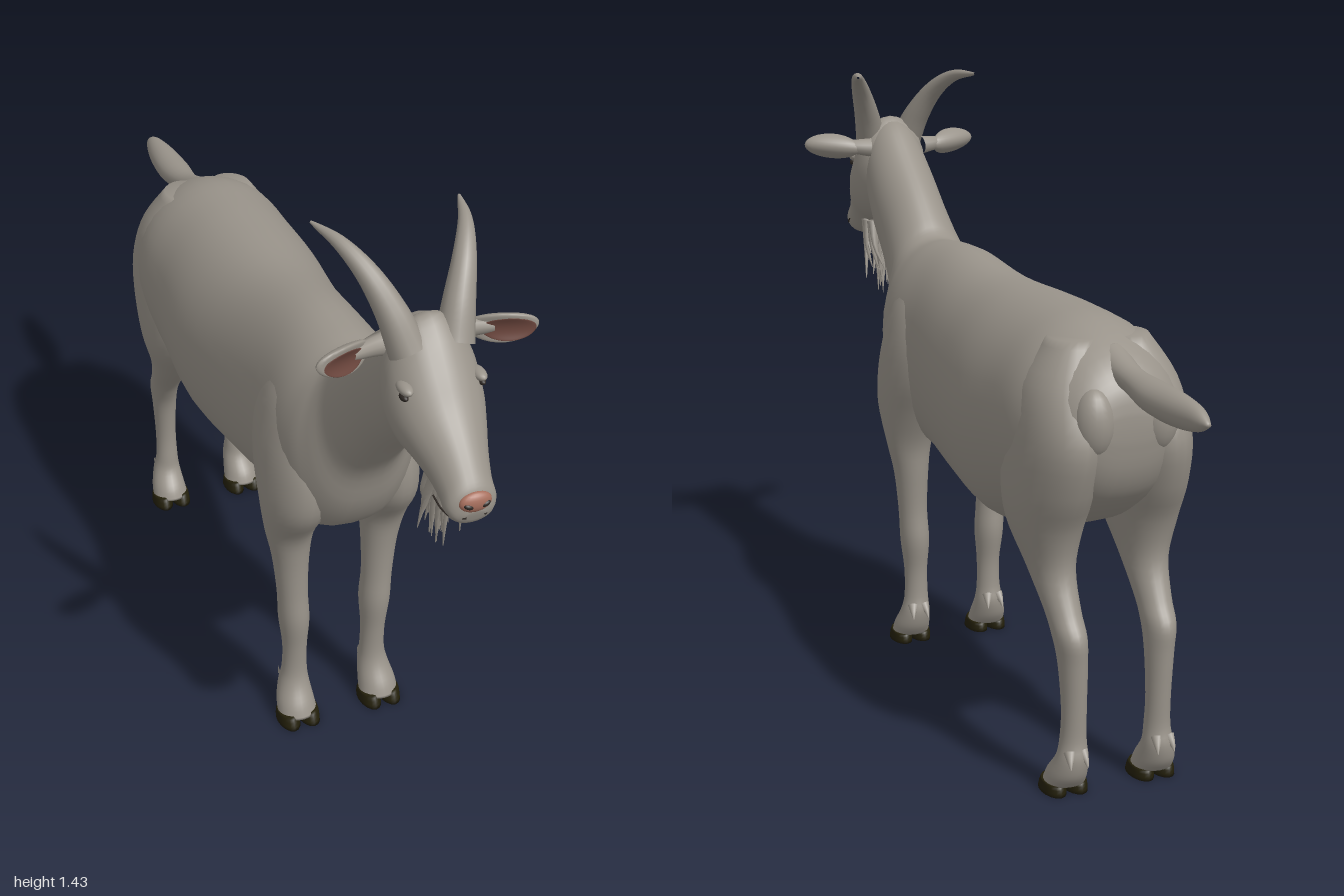
import * as THREE from 'three';

const paint = (name, color) => {
  const m = new THREE.MeshStandardMaterial({ color });
  m.name = name;
  return m;
};

// Smooth closed skin through rings [za, ya, zb, yb, x, halfWidth];
// a and b are the opposite ends of each ring in the side plane.
// A fullness below 1 makes the b half of each ring boxier.
function loft(rings, steps = 4, sides = 24, fullness = 1) {
  const lerp = THREE.MathUtils.lerp;
  const at = (i) => rings[Math.max(0, Math.min(rings.length - 1, i))];
  const rows = [];
  for (let i = 0; i < rings.length - 1; i++) {
    for (let s = 0; s < steps; s++) {
      const t = s / steps;
      rows.push(rings[i].map((p1, k) => {
        const p2 = at(i + 1)[k];
        const m1 = (p2 - at(i - 1)[k]) / 2, m2 = (at(i + 2)[k] - p1) / 2;
        const h = t * t * (3 - 2 * t);
        return lerp(p1, p2, h) + m1 * t * (1 - t) ** 2 - m2 * t * t * (1 - t);
      }));
    }
  }
  rows.push(rings[rings.length - 1]);
  const pos = [], idx = [];
  rows.forEach(([za, ya, zb, yb, x, w]) => {
    for (let j = 0; j < sides; j++) {
      const a = (j / sides) * Math.PI * 2, c = Math.cos(a) / 2, sn = Math.sin(a);
      const across = c < 0 ? Math.sign(sn) * Math.abs(sn) ** fullness : sn;
      pos.push(x + across * w, (ya + yb) / 2 + c * (ya - yb), (za + zb) / 2 + c * (za - zb));
    }
  });
  const n = rows.length, first = n * sides;
  [rows[0], rows[n - 1]].forEach(([za, ya, zb, yb, x]) => pos.push(x, (ya + yb) / 2, (za + zb) / 2));
  for (let j = 0; j < sides; j++) {
    const k = (j + 1) % sides;
    for (let i = 0; i < n - 1; i++) {
      const a = i * sides + j, b = i * sides + k, c = a + sides, d = b + sides;
      idx.push(a, c, b, b, c, d);
    }
    idx.push(first, j, k, first + 1, (n - 1) * sides + k, (n - 1) * sides + j);
  }
  const g = new THREE.BufferGeometry();
  g.setAttribute('position', new THREE.Float32BufferAttribute(pos, 3));
  g.setIndex(idx);
  g.computeVertexNormals();
  return g;
}

// Tube along points whose radius follows a function of 0..1
function taperTube(points, radius, n = 16, sides = 10) {
  const curve = new THREE.CatmullRomCurve3(points.map((p) => new THREE.Vector3(...p)));
  const g = new THREE.TubeGeometry(curve, n, 1, sides);
  const p = g.attributes.position, v = new THREE.Vector3();
  for (let i = 0; i <= n; i++) {
    const c = curve.getPointAt(i / n);
    for (let j = 0; j <= sides; j++) {
      const k = i * (sides + 1) + j;
      v.fromBufferAttribute(p, k).sub(c).multiplyScalar(radius(i / n)).add(c);
      p.setXYZ(k, v.x, v.y, v.z);
    }
  }
  return g;
}

export function createModel() {
  const root = new THREE.Group();
  root.name = 'goat';
  const coat = paint('coat grey', 0x99938a);
  const dark = paint('hoof black', 0x231f0a);
  const earPink = paint('ear pink', 0x6c463d);
  const nosePink = paint('nose pink', 0xa8705e);
  const eyeDark = paint('eye dark', 0x2e2824);

  const add = (name, geo, mat, parent = root) => {
    const m = new THREE.Mesh(geo, mat);
    m.name = name;
    parent.add(m);
    return m;
  };
  const blob = (name, mat, [x, y, z], [sx, sy, sz], parent = root) => {
    const m = add(name, new THREE.SphereGeometry(1, 20, 14), mat, parent);
    m.position.set(x, y, z);
    m.scale.set(sx, sy, sz);
    return m;
  };
  const centred = (rows) => rows.map(([za, ya, zb, yb, w]) => [za, ya, zb, yb, 0, w]);

  // Trunk and neck in one skin, rump to poll
  add('bodyAndNeck', loft(centred([
    [-0.69, 0.84, -0.69, 0.79, 0.07], [-0.675, 0.9, -0.675, 0.71, 0.11],
    [-0.62, 0.96, -0.63, 0.64, 0.148], [-0.5, 1.01, -0.52, 0.57, 0.192],
    [-0.36, 1.02, -0.36, 0.52, 0.197], [-0.2, 1.02, -0.2, 0.482, 0.2],
    [0, 1.02, 0, 0.493, 0.175], [0.2, 1.043, 0.2, 0.522, 0.157],
    [0.33, 1.04, 0.33, 0.54, 0.162], [0.4, 1.033, 0.42, 0.585, 0.15],
    [0.43, 1.045, 0.48, 0.67, 0.125], [0.46, 1.075, 0.52, 0.785, 0.102],
    [0.53, 1.14, 0.6, 0.885, 0.09], [0.62, 1.215, 0.69, 0.98, 0.087],
    [0.7, 1.28, 0.75, 1.05, 0.08], [0.745, 1.298, 0.79, 1.08, 0.07],
  ]), 4, 36, 0.78), coat);
  blob('udder', coat, [0, 0.515, -0.2], [0.08, 0.056, 0.14]);
  add('tail', loft(centred([
    [-1, 0.905, -1, 0.897, 0.005], [-0.96, 0.927, -0.96, 0.878, 0.02],
    [-0.88, 0.936, -0.88, 0.868, 0.034], [-0.78, 0.938, -0.78, 0.872, 0.039],
    [-0.68, 0.945, -0.68, 0.89, 0.03], [-0.58, 0.98, -0.58, 0.9, 0.04],
  ])), coat);

  // Head from poll to lips
  const head = new THREE.Group();
  head.name = 'head';
  root.add(head);
  add('skull', loft(centred([
    [0.69, 1.25, 0.66, 1.14, 0.05], [0.745, 1.305, 0.69, 1.075, 0.082],
    [0.79, 1.28, 0.74, 1.035, 0.097], [0.84, 1.222, 0.79, 1.02, 0.094],
    [0.88, 1.17, 0.84, 1.015, 0.08], [0.925, 1.12, 0.885, 0.998, 0.063],
    [0.962, 1.075, 0.92, 0.978, 0.054], [0.983, 1.045, 0.95, 0.965, 0.053],
    [0.988, 1.02, 0.975, 0.968, 0.04], [0.99, 1.0, 0.984, 0.98, 0.02],
  ])), coat, head);
  blob('nose', nosePink, [0, 1.022, 0.984], [0.034, 0.022, 0.014], head);

  for (const s of [1, -1]) {
    const side = s > 0 ? 'left' : 'right';
    const nostril = blob(side + 'Nostril', eyeDark, [s * 0.017, 1.019, 0.992], [0.011, 0.006, 0.007], head);
    nostril.rotation.z = s * 0.35;
    blob(side + 'Eye', eyeDark, [s * 0.081, 1.178, 0.826], [0.008, 0.007, 0.014], head);
    blob(side + 'Brow', coat, [s * 0.077, 1.193, 0.82], [0.014, 0.011, 0.027], head);
    add(side + 'Mouth', taperTube(
      [[s * 0.018, 0.99, 0.988], [s * 0.042, 0.99, 0.974], [s * 0.054, 0.998, 0.956], [s * 0.059, 1.012, 0.925]],
      () => 0.002, 12, 5), eyeDark, head);

    // Backswept horn
    add(side + 'Horn', taperTube([
      [s * 0.048, 1.24, 0.77], [s * 0.07, 1.31, 0.738], [s * 0.1, 1.375, 0.692],
      [s * 0.13, 1.415, 0.63], [s * 0.157, 1.426, 0.545],
    ], (t) => 0.037 * (1 - t) ** 0.85 + 0.003, 24, 14), coat, head);

    // Ear: cupped leaf with a pink lining, on a short stalk
    const ear = new THREE.Group();
    ear.name = side + 'Ear';
    ear.position.set(s * 0.163, 1.234, 0.745);
    ear.rotation.set(0, s * -0.42, s * 0.08);
    head.add(ear);
    const leaf = (name, mat, rx, ry, rz, dz) => {
      const g = new THREE.SphereGeometry(1, 24, 16).scale(rx, ry, rz);
      const p = g.attributes.position;
      for (let i = 0; i < p.count; i++) p.setZ(i, p.getZ(i) + dz + 16 * p.getY(i) ** 2);
      g.computeVertexNormals();
      return add(name, g, mat, ear);
    };
    leaf('earShell', coat, 0.072, 0.032, 0.016, -0.012);
    leaf('earLining', earPink, 0.054, 0.025, 0.004, 0.003).position.x = s * 0.012;
    add(side + 'EarStalk', taperTube(
      [[s * 0.07, 1.23, 0.712], [s * 0.1, 1.232, 0.718], [s * 0.15, 1.235, 0.735]],
      (t) => 0.024 - 0.011 * t), coat, head);
  }

  // Beard: a tuft with tapering strands around it
  const beard = new THREE.Group();
  beard.name = 'beard';
  head.add(beard);
  add('beardTuft', taperTube([[0, 1.01, 0.86], [0, 0.95, 0.835], [0.012, 0.84, 0.82]],
    (t) => 0.03 * (1 - t) + 0.001, 12, 9), coat, beard);
  let seed = 7;
  const rnd = () => (seed = (seed * 16807) % 2147483647) / 2147483647;
  for (let i = 0; i < 40; i++) {
    const x = (rnd() - 0.5) * 0.07, z = 0.82 + rnd() * 0.065;
    const drop = (0.07 + rnd() * 0.11) * (1 - Math.abs(x) * 9);
    const dx = (rnd() - 0.4) * 0.035, dz = -0.015 - rnd() * 0.03;
    add('beardStrand', taperTube([
      [x, 1.015, z], [x * 1.2 + dx * 0.2, 0.99 - drop * 0.45, z + dz * 0.6], [x + dx, 0.99 - drop, z + dz],
    ], (t) => 0.012 * (1 - t) + 0.001, 6, 5), coat, beard);
  }

  // Legs: rows are [zFront, zRear, y, x, halfWidth]; the upper rows sink into the trunk
  const foreRows = [
    [0.38, 0.25, 0.99, 0.045, 0.045], [0.41, 0.2, 0.9, 0.078, 0.069], [0.435, 0.17, 0.81, 0.096, 0.076],
    [0.455, 0.18, 0.72, 0.105, 0.077], [0.445, 0.225, 0.63, 0.11, 0.072], [0.387, 0.266, 0.54, 0.114, 0.056],
    [0.37, 0.278, 0.46, 0.11, 0.043], [0.365, 0.287, 0.36, 0.106, 0.036], [0.368, 0.283, 0.28, 0.102, 0.036],
    [0.358, 0.295, 0.2, 0.1, 0.029], [0.355, 0.295, 0.13, 0.1, 0.03], [0.365, 0.288, 0.09, 0.102, 0.036],
    [0.39, 0.297, 0.05, 0.105, 0.044], [0.402, 0.315, 0.022, 0.105, 0.047],
  ];
  const hindRows = [
    [-0.46, -0.58, 0.98, 0.06, 0.05], [-0.4, -0.64, 0.89, 0.085, 0.083], [-0.355, -0.69, 0.78, 0.1, 0.089],
    [-0.35, -0.665, 0.67, 0.108, 0.086], [-0.38, -0.62, 0.58, 0.112, 0.074], [-0.455, -0.602, 0.49, 0.11, 0.05],
    [-0.53, -0.635, 0.41, 0.107, 0.038], [-0.565, -0.668, 0.36, 0.105, 0.035], [-0.59, -0.667, 0.3, 0.102, 0.031],
    [-0.603, -0.662, 0.2, 0.1, 0.027], [-0.6, -0.66, 0.13, 0.1, 0.029], [-0.593, -0.668, 0.09, 0.102, 0.035],
    [-0.562, -0.66, 0.05, 0.105, 0.043], [-0.55, -0.64, 0.022, 0.105, 0.047],
  ];
  for (const s of [1, -1]) {
    blob('pinBone', coat, [s * 0.072, 0.825, -0.655], [0.045, 0.075, 0.045]);
    for (const [kind, rows, toe] of [['Front', foreRows, 0.41], ['Hind', hindRows, -0.543]]) {
      const leg = new THREE.Group();
      leg.name = (s > 0 ? 'left' : 'right') + kind + 'Leg';
      root.add(leg);
      add('limb', loft(rows.map(([f, r, y, x, w]) => [f, y, r, y, s * x, w]), 4, 24), coat, leg);
      // Cloven hoof and dewclaws
      for (const c of [-1, 1]) {
        const x = s * 0.105 + c * 0.025;
        add('hoofHalf', loft([
          [toe - 0.016, 0.031, toe - 0.088, 0.024, x, 0.023], [toe - 0.007, 0.018, toe - 0.094, 0.016, x, 0.025],
          [toe, 0, toe - 0.096, 0, x, 0.026],
        ], 2, 16), dark, leg);
        add('dewclaw', taperTube([
          [s * 0.103 + c * 0.014, 0.108, toe - 0.108], [s * 0.103 + c * 0.018, 0.092, toe - 0.12],
          [s * 0.103 + c * 0.02, 0.076, toe - 0.128],
        ], (t) => 0.013 * (1 - t) + 0.001, 8, 8), coat, leg);
      }
    }
  }
  return root;
}
